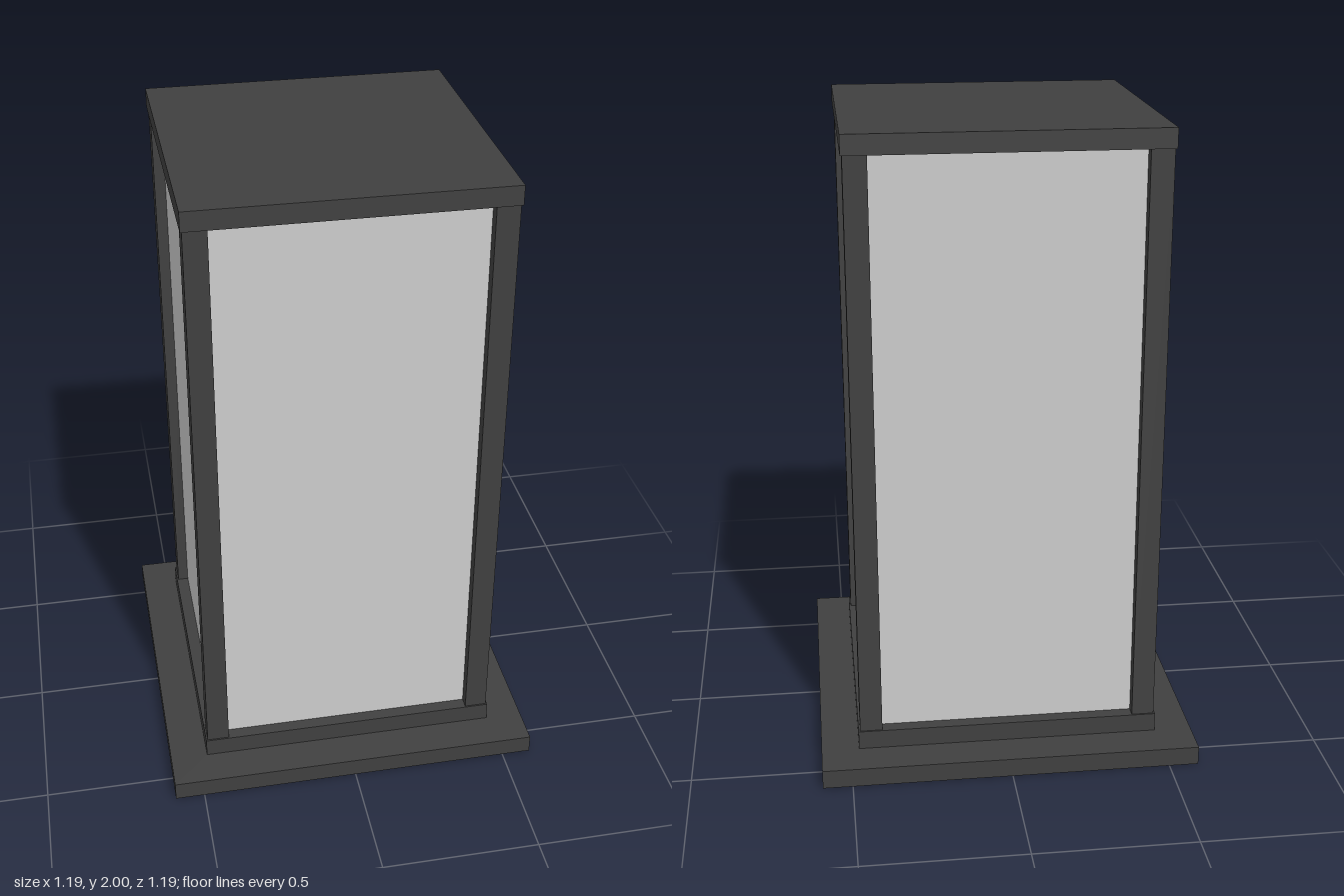
import * as THREE from 'three';

export function createModel() {
  const model = new THREE.Group();
  const frame = new THREE.MeshStandardMaterial({ color: 0x404040 });
  const pane = new THREE.MeshStandardMaterial({ color: 0xcccccc });

  const box = (name, w, y0, y1, d, material, x = 0, z = 0) => {
    const mesh = new THREE.Mesh(new THREE.BoxGeometry(w, y1 - y0, d), material);
    mesh.name = name;
    mesh.position.set(x, (y0 + y1) / 2, z);
    model.add(mesh);
  };

  // Stacked square plates: foot, lower frame and roof
  box('basePlate', 1.186, 0, 0.06, 1.186, frame);
  box('lowerFrame', 0.95, 0.06, 0.12, 0.95, frame);
  box('roofPlate', 0.95, 1.94, 2, 0.95, frame);

  // Four corner posts
  for (const sx of [-1, 1]) {
    for (const sz of [-1, 1]) {
      box('cornerPost', 0.07, 0.12, 1.94, 0.07, frame, sx * 0.435, sz * 0.435);
    }
  }

  // Four panes set back between the posts
  for (const s of [-1, 1]) {
    box('pane', 0.8, 0.12, 1.94, 0.012, pane, 0, s * 0.429);
    box('pane', 0.012, 0.12, 1.94, 0.8, pane, s * 0.429, 0);
  }
  return model;
}
